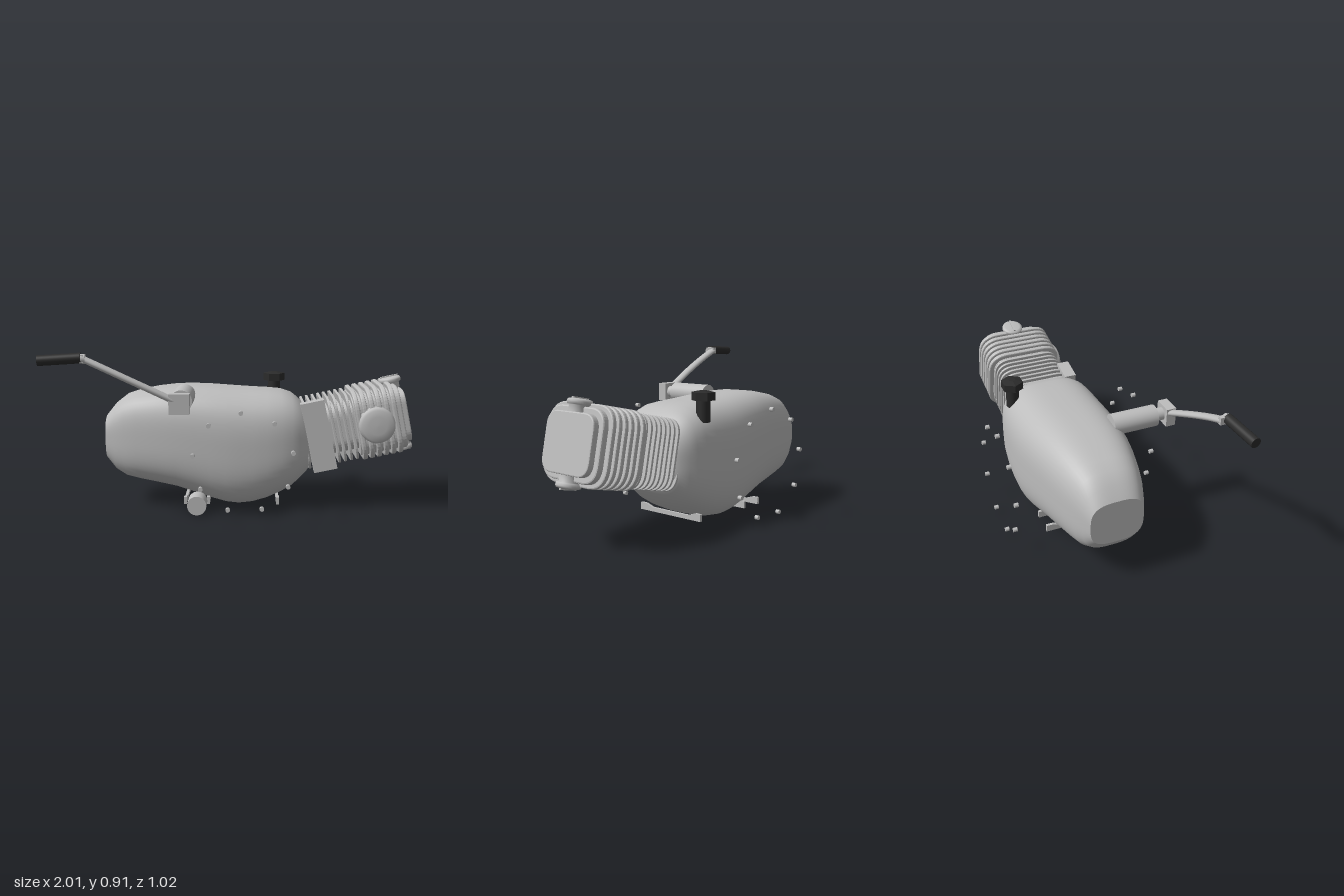
import * as THREE from 'three';

const metal = new THREE.MeshStandardMaterial({ color: 0xbdbdbd });
metal.name = 'castMetal';
const rubber = new THREE.MeshStandardMaterial({ color: 0x2b2b2b });
rubber.name = 'blackRubber';

const MID = -0.083; // z of the engine's centre plane

function add(parent, name, geo, mat = metal, pos = [0, 0, 0], rot = [0, 0, 0]) {
  const m = new THREE.Mesh(geo, mat);
  m.name = name;
  m.position.set(...pos);
  m.rotation.set(...rot);
  parent.add(m);
  return m;
}

// cylinder whose ends are given as points
function rod(parent, name, a, b, r, mat = metal, sides = 32) {
  const p = new THREE.Vector3(...a), q = new THREE.Vector3(...b);
  const m = add(parent, name, new THREE.CylinderGeometry(r, r, p.distanceTo(q), sides), mat);
  m.position.copy(p).add(q).multiplyScalar(0.5);
  m.quaternion.setFromUnitVectors(new THREE.Vector3(0, 1, 0), q.sub(p).normalize());
  return m;
}

// rounded rectangle plate lying across the local x axis, from s0 to s1
function plate(parent, name, s0, s1, hy, hz, r, bevel = 0.004) {
  const s = new THREE.Shape(), w = hz - bevel, h = hy - bevel;
  s.moveTo(-w + r, -h);
  s.lineTo(w - r, -h);
  s.quadraticCurveTo(w, -h, w, -h + r);
  s.lineTo(w, h - r);
  s.quadraticCurveTo(w, h, w - r, h);
  s.lineTo(-w + r, h);
  s.quadraticCurveTo(-w, h, -w, h - r);
  s.lineTo(-w, -h + r);
  s.quadraticCurveTo(-w, -h, -w + r, -h);
  const g = new THREE.ExtrudeGeometry(s, {
    depth: s1 - s0 - 2 * bevel, bevelEnabled: true, bevelThickness: bevel,
    bevelSize: bevel, bevelSegments: 2, curveSegments: 10,
  });
  g.translate(0, 0, bevel);
  g.rotateY(Math.PI / 2);
  return add(parent, name, g, metal, [s0, 0, 0]);
}

// loft through squircle sections [x, top, bottom, half width]
function loft(sections, power, n = 72) {
  const pos = [], idx = [];
  sections.forEach(([x, top, bot, w]) => {
    for (let j = 0; j < n; j++) {
      const a = (j / n) * Math.PI * 2, c = Math.cos(a), s = Math.sin(a);
      const r = Math.pow(Math.abs(c) ** power + Math.abs(s) ** power, -1 / power);
      pos.push(x, (top + bot) / 2 + (top - bot) / 2 * r * s, MID + w * r * c);
    }
  });
  for (let i = 0; i < sections.length - 1; i++) {
    for (let j = 0; j < n; j++) {
      const a = i * n + j, b = i * n + (j + 1) % n;
      idx.push(a, a + n, b, b, a + n, b + n);
    }
  }
  const g = new THREE.BufferGeometry();
  g.setAttribute('position', new THREE.Float32BufferAttribute(pos, 3));
  g.setIndex(idx);
  g.computeVertexNormals();
  return g;
}

function buildCylinder(root) {
  const cyl = new THREE.Group();
  cyl.name = 'cylinderAndHead';
  cyl.position.set(0.446, 0.423, MID);
  cyl.rotation.z = THREE.MathUtils.degToRad(12);
  root.add(cyl);

  // finned barrel
  plate(cyl, 'barrelCore', -0.1, 0.23, 0.14, 0.15, 0.08);
  for (let i = 0; i < 9; i++) {
    const s = -0.08 + i * 0.034;
    plate(cyl, 'barrelFin', s - 0.007, s + 0.007, 0.19, 0.2, 0.09, 0.002);
  }
  add(cyl, 'pushrodTunnel', new THREE.BoxGeometry(0.131, 0.393, 0.07), metal, [0, 0, 0.188]);

  // finned head with a stepped end cover
  plate(cyl, 'headCore', 0.215, 0.46, 0.175, 0.198, 0.09);
  for (let i = 0; i < 6; i++) {
    const s = 0.235 + i * 0.04;
    plate(cyl, 'headFin', s - 0.013, s + 0.013, 0.2, 0.226, 0.11, 0.007);
  }
  plate(cyl, 'headStep', 0.44, 0.48, 0.18, 0.198, 0.09, 0.008);
  plate(cyl, 'headCover', 0.47, 0.512, 0.15, 0.168, 0.07, 0.006);

  // domed round cover on the side
  const dome = [[0, 0.035], [0.05, 0.034], [0.085, 0.029], [0.098, 0.018], [0.1, 0], [0.1, -0.03]]
    .reverse().map(p => new THREE.Vector2(...p));
  add(cyl, 'sideCover', new THREE.LatheGeometry(dome, 40), metal, [0.323, 0, 0.226], [Math.PI / 2, 0, 0]);

  // slotted inspection caps above and below
  for (const k of [1, -1]) {
    const cap = new THREE.Group();
    cap.name = 'inspectionCap';
    cap.position.set(0.466, k * 0.2, 0);
    if (k < 0) cap.rotation.x = Math.PI;
    cyl.add(cap);
    const prof = [[0.05, -0.05], [0.05, -0.016], [0.06, -0.014], [0.063, 0], [0.06, 0.01], [0.045, 0.015], [0, 0.016]]
      .map(p => new THREE.Vector2(...p));
    add(cap, 'capDisc', new THREE.LatheGeometry(prof, 32));
    add(cap, 'capGrip', new THREE.BoxGeometry(0.1, 0.012, 0.012), metal, [0, 0.016, 0]);
  }
}

function buildKickStarter(root) {
  const kick = new THREE.Group();
  kick.name = 'kickStarter';
  root.add(kick);
  rod(kick, 'shaftHousing', [-0.297, 0.648, 0.08], [-0.297, 0.648, 0.335], 0.059, metal, 40);
  rod(kick, 'shaft', [-0.297, 0.648, 0.33], [-0.297, 0.648, 0.385], 0.035);
  add(kick, 'leverBlock', new THREE.BoxGeometry(0.107, 0.105, 0.055), metal, [-0.299, 0.648, 0.408]);

  // curved lever with a flattened section
  const flat = 1.6;
  const path = new THREE.CatmullRomCurve3([
    [-0.3, 0.65, 0.405], [-0.42, 0.71, 0.422], [-0.55, 0.773, 0.438], [-0.68, 0.835, 0.444], [-0.785, 0.883, 0.442],
  ].map(([x, y, z]) => new THREE.Vector3(x, y, z / flat)));
  const arm = new THREE.TubeGeometry(path, 32, 0.017, 16);
  arm.scale(1, 1, flat);
  add(kick, 'lever', arm);
  rod(kick, 'pedalPivot', [-0.765, 0.882, 0.46], [-0.8, 0.884, 0.464], 0.024);
  add(kick, 'leverEnd', new THREE.BoxGeometry(0.025, 0.04, 0.06), metal, [-0.782, 0.884, 0.45]);
  rod(kick, 'pedalGrip', [-0.785, 0.888, 0.464], [-0.999, 0.876, 0.484], 0.027, rubber);
}

export function createModel() {
  const root = new THREE.Group();
  root.name = 'engine';

  // crankcase: a lofted shell with a flat rear face
  const rear = [-0.75, 0.52, 0.265, 0.145];
  add(root, 'crankcase', loft([
    [-0.75, 0.39, 0.39, 0], rear, rear,
    [-0.7, 0.582, 0.2, 0.168], [-0.64, 0.628, 0.163, 0.19], [-0.57, 0.652, 0.147, 0.21],
    [-0.46, 0.673, 0.127, 0.236], [-0.35, 0.685, 0.105, 0.256], [-0.25, 0.686, 0.074, 0.27],
    [-0.15, 0.682, 0.04, 0.28], [-0.07, 0.676, 0.018, 0.286], [0, 0.671, 0.01, 0.287],
    [0.08, 0.666, 0.019, 0.286], [0.16, 0.662, 0.043, 0.283], [0.24, 0.655, 0.079, 0.274],
    [0.3, 0.636, 0.115, 0.259], [0.34, 0.605, 0.15, 0.242], [0.38, 0.56, 0.19, 0.215],
    [0.41, 0.515, 0.23, 0.18], [0.43, 0.47, 0.28, 0.12], [0.435, 0.375, 0.375, 0],
  ], 3.1));

  buildCylinder(root);
  buildKickStarter(root);

  // oil filler with a hexagonal cap
  rod(root, 'fillerNeck', [0.208, 0.57, -0.3], [0.208, 0.695, -0.3], 0.037, rubber);
  const hex = new THREE.CylinderGeometry(0.063, 0.063, 0.042, 6).toNonIndexed();
  hex.computeVertexNormals();
  add(root, 'fillerCap', hex, rubber, [0.208, 0.706, -0.3], [0, Math.PI / 6, 0]);
  const crown = new THREE.CylinderGeometry(0.02, 0.063, 0.009, 6).toNonIndexed();
  crown.computeVertexNormals();
  add(root, 'fillerCrown', crown, rubber, [0.208, 0.7315, -0.3], [0, Math.PI / 6, 0]);

  // lower shaft and mounting bars with deeper ends
  rod(root, 'lowerShaft', [-0.227, 0.055, 0.135], [-0.227, 0.055, 0.243], 0.053, metal, 40);
  const bar = new THREE.Shape([
    [-0.218, -0.02], [0.218, -0.02], [0.218, 0.02], [0.18, 0.02], [0.13, 0.003], [-0.13, 0.003], [-0.18, 0.02], [-0.218, 0.02],
  ].map(p => new THREE.Vector2(...p)));
  const barGeo = new THREE.ExtrudeGeometry(bar, { depth: 0.016, bevelEnabled: false });
  barGeo.translate(0, 0, -0.008);
  for (const x of [-0.297, -0.168, 0.22]) {
    add(root, 'mountingBar', barGeo, metal, [x, 0.056, -0.08], [0, Math.PI / 2, 0]);
  }

  // loose case screws standing off both sides
  const screw = new THREE.CylinderGeometry(0.012, 0.012, 0.022, 16);
  const spots = [
    [0.016, 0.592], [-0.153, 0.525], [0.192, 0.536], [0.292, 0.38], [-0.237, 0.363],
    [-0.198, 0.183], [0.266, 0.198], [0.128, 0.076], [-0.053, 0.07],
  ];
  for (const [x, y] of spots) {
    add(root, 'caseScrew', screw, metal, [x, y, 0.363], [Math.PI / 2, 0, 0]);
    add(root, 'caseScrew', screw, metal, [1.095 * x - 0.15, 1.11 * y - 0.036, -0.498], [Math.PI / 2, 0, 0]);
  }
  return root;
}
